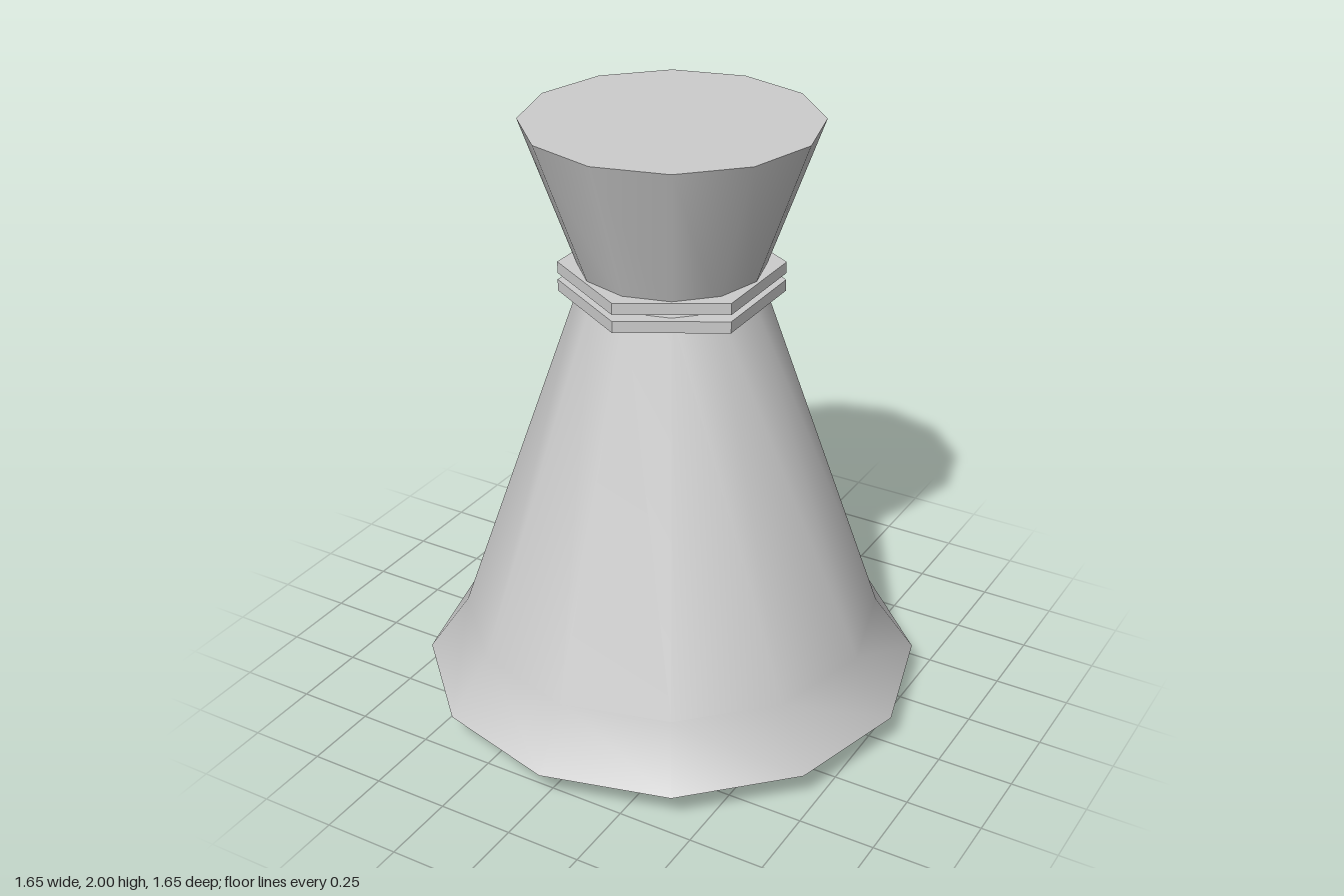
import * as THREE from 'three';

const SIDES = 12;

export function createModel() {
  const model = new THREE.Group();
  const grey = new THREE.MeshStandardMaterial({ color: 0xcccccc });
  grey.name = 'lightGrey';

  function add(name, geometry, y = 0) {
    const mesh = new THREE.Mesh(geometry, grey);
    mesh.name = name;
    mesh.position.y = y;
    model.add(mesh);
  }

  // Smooth twelve-sided shell from [radius, height] points, bottom to top
  function shell(name, points) {
    add(name, new THREE.LatheGeometry(points.map(([r, y]) => new THREE.Vector2(r, y)), SIDES));
  }

  // Flat end cap, facing up or down
  function cap(name, radius, y, up) {
    add(name, new THREE.CircleGeometry(radius, SIDES).rotateX(up ? -Math.PI / 2 : Math.PI / 2), y);
  }

  // Undercut foot, flared body and funnel-shaped head
  cap('baseCap', 0.692, 0, false);
  shell('foot', [[0.692, 0], [0.825, 0.1]]);
  shell('body', [[0.825, 0.1], [0.692, 0.29], [0.28, 1.485]]);
  shell('head', [[0.28, 1.485], [0.466, 2]]);
  cap('topCap', 0.466, 2, true);

  // Two thin hexagonal collars around the neck, points to front and back
  for (const [name, y] of [['lowerCollar', 1.455], ['upperCollar', 1.515]]) {
    const ring = new THREE.CylinderGeometry(0.356, 0.356, 0.038, 6).toNonIndexed();
    ring.computeVertexNormals();
    add(name, ring, y);
  }

  return model;
}
